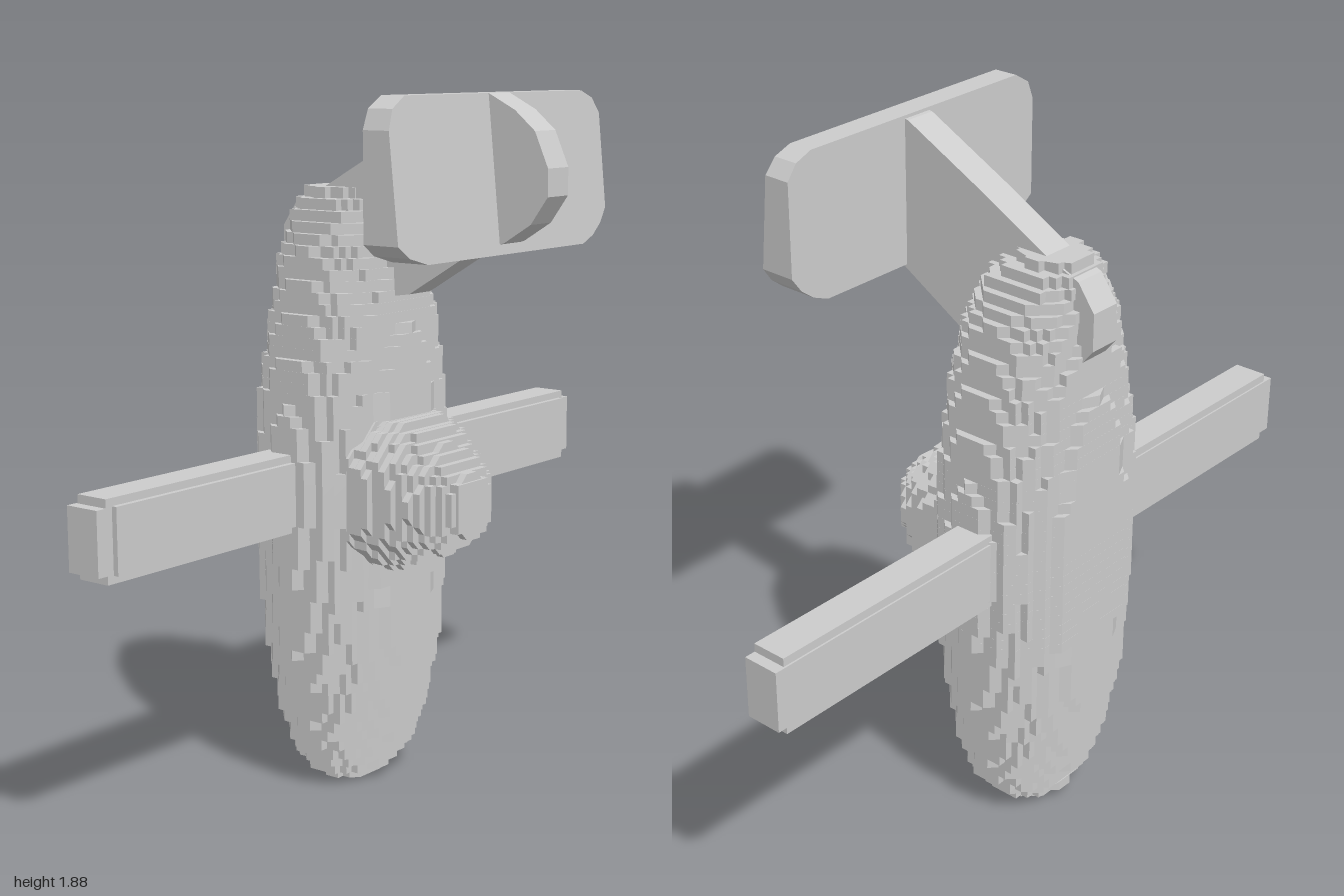
import * as THREE from 'three';

const grey = new THREE.MeshStandardMaterial({ color: 0xcccccc, flatShading: true, side: THREE.DoubleSide });
const STEP = 0.022; // size of the terraces

function add(group, name, geometry) {
  const mesh = new THREE.Mesh(geometry, grey);
  mesh.name = name;
  group.add(mesh);
  return mesh;
}

// Interpolates rows of [y, xMin, xMax, zMin, zMax]
function sample(rows, y) {
  let k = 0;
  while (k < rows.length - 2 && rows[k + 1][0] < y) k++;
  const a = rows[k], b = rows[k + 1];
  const t = THREE.MathUtils.clamp((y - a[0]) / (b[0] - a[0]), 0, 1);
  return a.map((v, i) => v + (b[i] - v) * t);
}

// Stack of slabs along y with superellipse sections snapped to a fine grid
function terracedLoft(rows, layers, power) {
  const sides = 64, pos = [], index = [];
  const y0 = rows[0][0], h = (rows[rows.length - 1][0] - y0) / layers;
  const snap = (v) => Math.round(v / STEP) * STEP;
  const bend = (v) => Math.sign(v) * Math.abs(v) ** (2 / power);
  const rings = layers * 2;
  for (let r = 0; r < rings; r++) {
    const layer = Math.floor(r / 2);
    const [, x0, x1, z0, z1] = sample(rows, y0 + (layer + 0.5) * h);
    for (let j = 0; j < sides; j++) {
      const a = (j / sides) * Math.PI * 2;
      pos.push((x0 + x1) / 2 + snap(((x1 - x0) / 2) * bend(Math.cos(a))),
        y0 + (layer + (r % 2)) * h,
        (z0 + z1) / 2 + snap(((z1 - z0) / 2) * bend(Math.sin(a))));
    }
  }
  for (let r = 0; r < rings - 1; r++) {
    for (let j = 0; j < sides; j++) {
      const a = r * sides + j, b = r * sides + ((j + 1) % sides);
      index.push(a, a + sides, b, b, a + sides, b + sides);
    }
  }
  const last = (rings - 1) * sides;
  for (let j = 1; j < sides - 1; j++) {
    index.push(0, j, j + 1, last, last + j + 1, last + j);
  }
  const g = new THREE.BufferGeometry();
  g.setAttribute('position', new THREE.Float32BufferAttribute(pos, 3));
  g.setIndex(index);
  g.computeVertexNormals();
  return g;
}

// Flat plate from an outline, extruded along z
function plate(points, depth) {
  const shape = new THREE.Shape(points.map(([x, y]) => new THREE.Vector2(x, y)));
  return new THREE.ExtrudeGeometry(shape, { depth, bevelEnabled: false });
}

export function createModel() {
  const model = new THREE.Group();
  model.name = 'toyPlane';

  // Fuselage standing on its nose
  add(model, 'fuselage', terracedLoft([
    [0, -0.08, 0.03, -0.28, -0.19],
    [0.04, -0.15, 0.10, -0.33, -0.13],
    [0.1, -0.2, 0.16, -0.36, -0.09],
    [0.2, -0.235, 0.195, -0.39, -0.06],
    [0.4, -0.275, 0.235, -0.42, -0.03],
    [0.6, -0.297, 0.257, -0.425, -0.025],
    [0.85, -0.312, 0.27, -0.425, -0.02],
    [1.1, -0.295, 0.25, -0.42, -0.025],
    [1.3, -0.255, 0.215, -0.405, -0.035],
    [1.45, -0.22, 0.18, -0.39, -0.065],
    [1.55, -0.17, 0.13, -0.375, -0.1],
    [1.6, -0.12, 0.08, -0.36, -0.16],
    [1.63, -0.08, 0.04, -0.34, -0.2],
  ], 56, 2.4));

  // Cockpit dome, lofted along y and turned to face +z
  const dome = terracedLoft([
    [-0.1, -0.25, 0.21, -1.05, -0.62],
    [0.0, -0.23, 0.19, -1.03, -0.63],
    [0.05, -0.21, 0.17, -1.0, -0.655],
    [0.1, -0.18, 0.14, -0.955, -0.68],
    [0.15, -0.135, 0.095, -0.91, -0.715],
    [0.18, -0.1, 0.04, -0.885, -0.745],
  ], 14, 2.8);
  add(model, 'cockpit', dome.rotateX(Math.PI / 2));
  const pad = add(model, 'cockpitFront', new THREE.BoxGeometry(0.13, 0.13, 0.03));
  pad.position.set(-0.03, 0.815, 0.172);

  // Wings with slightly stepped edges and tips
  for (const side of [-1, 1]) {
    const wing = new THREE.Group();
    wing.name = side > 0 ? 'leftWing' : 'rightWing';
    model.add(wing);
    for (const [name, tip, height, z0, z1] of [
      ['panel', 0.97, 0.21, -0.295, -0.2],
      ['frontLayer', 0.95, 0.17, -0.295, -0.185],
      ['tip', 1.0, 0.165, -0.3, -0.2],
    ]) {
      const part = add(wing, name, new THREE.BoxGeometry(tip - 0.1, height, z1 - z0));
      part.position.set(side * (tip + 0.1) / 2, 0.843, (z0 + z1) / 2);
    }
  }

  // Tail fin, outline given as [z, y]
  const fin = plate([
    [-0.43, 1.42], [-0.39, 1.37], [-0.2, 1.33], [0, 1.36], [0.1, 1.42], [0.2, 1.48],
    [0.3, 1.51], [0.38, 1.56], [0.43, 1.63], [0.43, 1.7], [0.39, 1.79], [0.33, 1.84],
    [0.25, 1.88], [0.17, 1.87], [-0.08, 1.74], [-0.28, 1.63], [-0.38, 1.59], [-0.43, 1.52],
  ].map(([z, y]) => [-z, y]), 0.09);
  add(model, 'tailFin', fin.rotateY(Math.PI / 2)).position.x = -0.06;

  // Tailplane, its front face leaning back towards the top
  const tail = plate([
    [-0.47, 1.53], [-0.43, 1.5], [-0.36, 1.48], [0.32, 1.48], [0.37, 1.5], [0.41, 1.53],
    [0.44, 1.57], [0.44, 1.82], [0.41, 1.86], [0.36, 1.88], [-0.4, 1.88], [-0.45, 1.85], [-0.47, 1.8],
  ], 0.1);
  const p = tail.attributes.position;
  for (let i = 0; i < p.count; i++) {
    if (p.getZ(i) > 0.05) p.setZ(i, 0.11 - (p.getY(i) - 1.48) * 0.1);
  }
  tail.computeVertexNormals();
  add(model, 'tailplane', tail).position.z = 0.18;

  return model;
}
